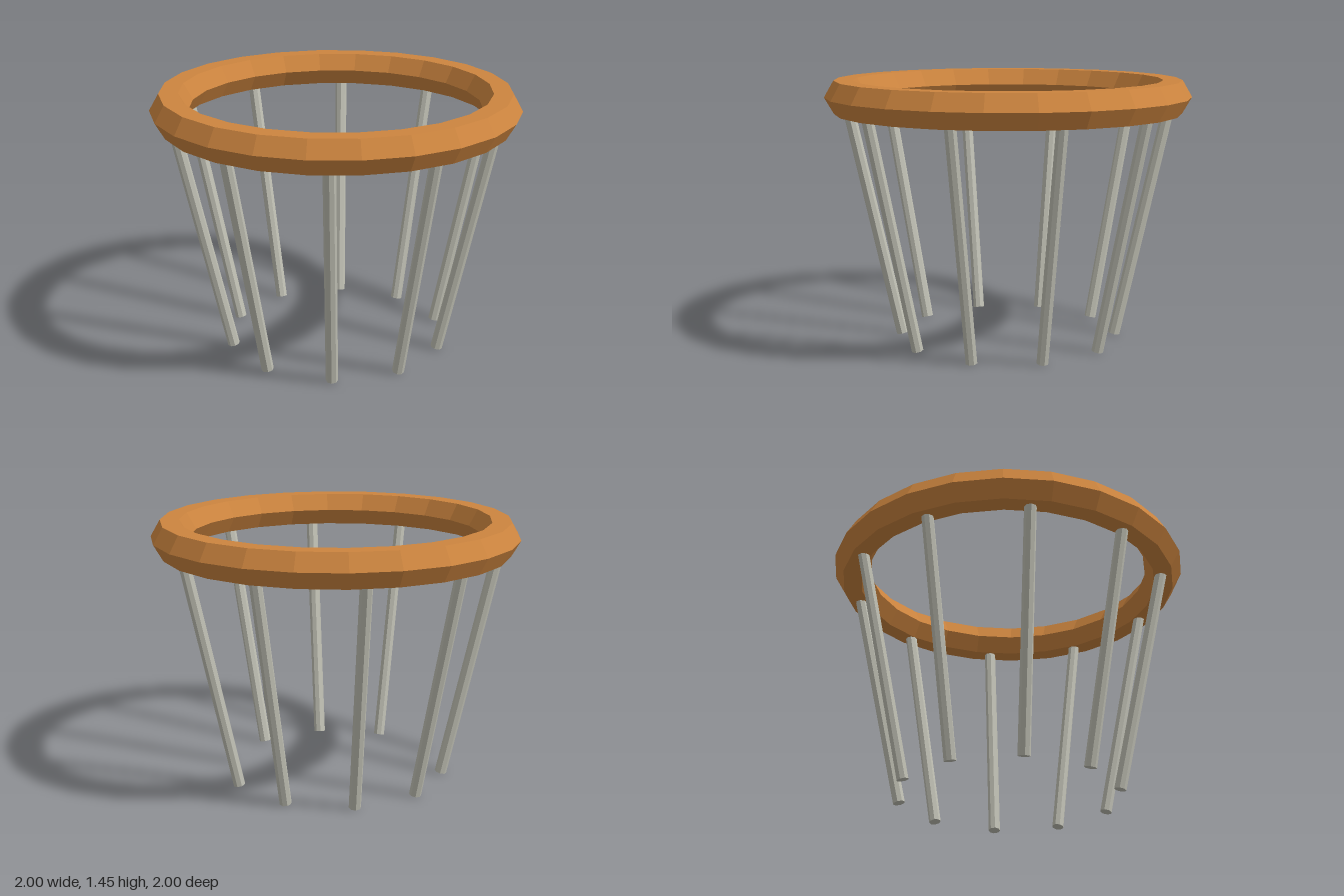
import * as THREE from 'three';

export function createModel() {
  const model = new THREE.Group();
  const wood = new THREE.MeshStandardMaterial({ color: 0xcd853f, flatShading: true });
  wood.name = 'warm wood';
  const metal = new THREE.MeshStandardMaterial({ color: 0xc0c0b4, flatShading: true });
  metal.name = 'pale grey';

  // Six-sided rim lying flat on top of the legs
  const rimRadius = 0.896, rimTube = 0.104, rimY = 1.355;
  const rim = new THREE.Mesh(new THREE.TorusGeometry(rimRadius, rimTube, 6, 24), wood);
  rim.name = 'rim';
  rim.rotation.x = Math.PI / 2;
  rim.position.y = rimY;
  model.add(rim);

  // Ten legs leaning outward from the floor to the middle of the rim
  const legCount = 10, legRadius = 0.033;
  const foot = new THREE.Vector3(0.6, 0.007, 0);
  const head = new THREE.Vector3(rimRadius, rimY, 0);
  const lean = head.clone().sub(foot);
  const legGeometry = new THREE.CylinderGeometry(legRadius, legRadius, lean.length(), 8);
  for (let i = 0; i < legCount; i++) {
    const pivot = new THREE.Group();
    pivot.name = `leg${i + 1}`;
    pivot.rotation.y = (i / legCount) * Math.PI * 2;
    const leg = new THREE.Mesh(legGeometry, metal);
    leg.name = 'legRod';
    leg.position.copy(foot).add(head).multiplyScalar(0.5);
    leg.rotation.z = -Math.atan2(lean.x, lean.y);
    pivot.add(leg);
    model.add(pivot);
  }
  return model;
}
